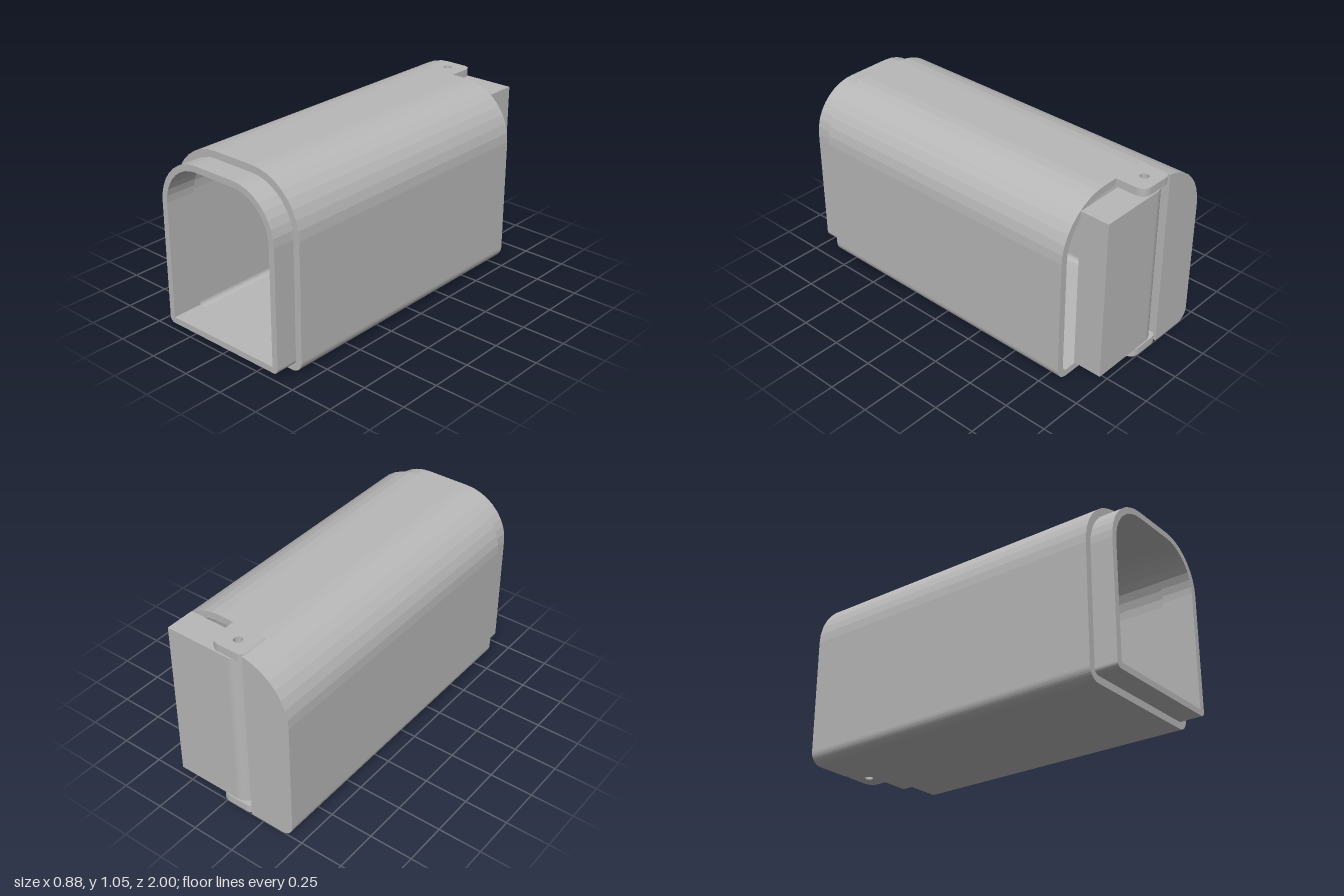
import * as THREE from 'three';

const HALF = 0.44, TOP = 1.05, WALL = 0.04;
const BACK = -1, REAR = -0.825, HINGE_X = -0.07, HINGE_Z = -0.915;

// points of an arc, angles in quarter turns
function arc(cx, cy, r, a0, a1, n) {
  if (r <= 0) return [new THREE.Vector2(cx, cy)];
  return Array.from({ length: n + 1 }, (_, i) => {
    const a = (a0 + (a1 - a0) * i / n) * Math.PI / 2;
    return new THREE.Vector2(cx + r * Math.cos(a), cy + r * Math.sin(a));
  });
}

// left-over-right halves of the arched section, inset by d
function sideMinusX(d) {
  const w = HALF - d, r = 0.31 - d, b = Math.max(0.07 - d, 0);
  return [
    ...arc(-w + r, TOP - d - r, r, 1, 2, 9),
    ...arc(-w + b, d + b, b, 2, 3, 10),
  ];
}
function archPoints(d) {
  const half = sideMinusX(d);
  const mirrored = half.map((p) => new THREE.Vector2(-p.x, p.y)).reverse();
  return [...half, ...mirrored];
}

function extrudeZ(shape, z0, z1) {
  const g = new THREE.ExtrudeGeometry(shape, { depth: z1 - z0, bevelEnabled: false });
  return g.translate(0, 0, z0);
}

// plan shapes are drawn as (x, -z) and raised along y
function extrudeY(shape, y0, y1) {
  const g = new THREE.ExtrudeGeometry(shape, { depth: y1 - y0, bevelEnabled: false, curveSegments: 16 });
  return g.rotateX(-Math.PI / 2).translate(0, y0, 0);
}

function archRing(outer, inner, z0, z1) {
  const s = new THREE.Shape(archPoints(outer));
  s.holes.push(new THREE.Path(archPoints(inner)));
  return extrudeZ(s, z0, z1);
}

function addPinHole(shape) {
  shape.holes.push(new THREE.Path().absarc(HINGE_X, -HINGE_Z, 0.024, 0, Math.PI * 2, true));
}

export function createModel() {
  const group = new THREE.Group();
  const grey = new THREE.MeshStandardMaterial({ color: 0xb8b8b8 });
  grey.name = 'plain grey';
  const add = (name, geometry) => {
    const mesh = new THREE.Mesh(geometry, grey);
    mesh.name = name;
    group.add(mesh);
  };

  // arched tunnel and the narrower collar at its front
  add('tunnelBody', archRing(0, WALL, REAR, 0.87));
  add('frontCollar', archRing(WALL, 0.075, 0.82, 1));

  // fixed rear part beside the door
  const edge = -0.167;
  add('rearBlock', extrudeZ(new THREE.Shape([
    new THREE.Vector2(edge, TOP - 0.002),
    ...sideMinusX(0).filter((p) => p.x < edge),
    new THREE.Vector2(edge, 0),
  ]), BACK, REAR));

  // hinge tabs above and below the door
  const tab = new THREE.Shape();
  tab.moveTo(edge, -REAR);
  tab.lineTo(0.04, -REAR);
  tab.lineTo(0.04, 0.94);
  tab.quadraticCurveTo(0.04, 1, -0.02, 1);
  tab.lineTo(-0.13, 1);
  tab.quadraticCurveTo(-0.16, 1, edge, 0.975);
  addPinHole(tab);
  add('lowerHingeTab', extrudeY(tab, 0, 0.045));
  add('upperHingeTab', extrudeY(tab, TOP - 0.045, TOP));

  // door with a rounded hinge edge
  const r = 0.085;
  const door = new THREE.Shape();
  door.moveTo(HINGE_X, -HINGE_Z - r);
  door.lineTo(0.315, -HINGE_Z - r);
  door.lineTo(0.315, -HINGE_Z + r);
  door.lineTo(HINGE_X, -HINGE_Z + r);
  door.absarc(HINGE_X, -HINGE_Z, r, Math.PI / 2, Math.PI * 1.5, false);
  addPinHole(door);
  add('door', extrudeY(door, 0.055, 0.995));

  // small stops on the floor inside the door
  for (const x of [-0.087, 0.082]) {
    add('doorStop', new THREE.BoxGeometry(0.064, 0.12, 0.04).translate(x, 0.1, -0.805));
  }
  return group;
}
